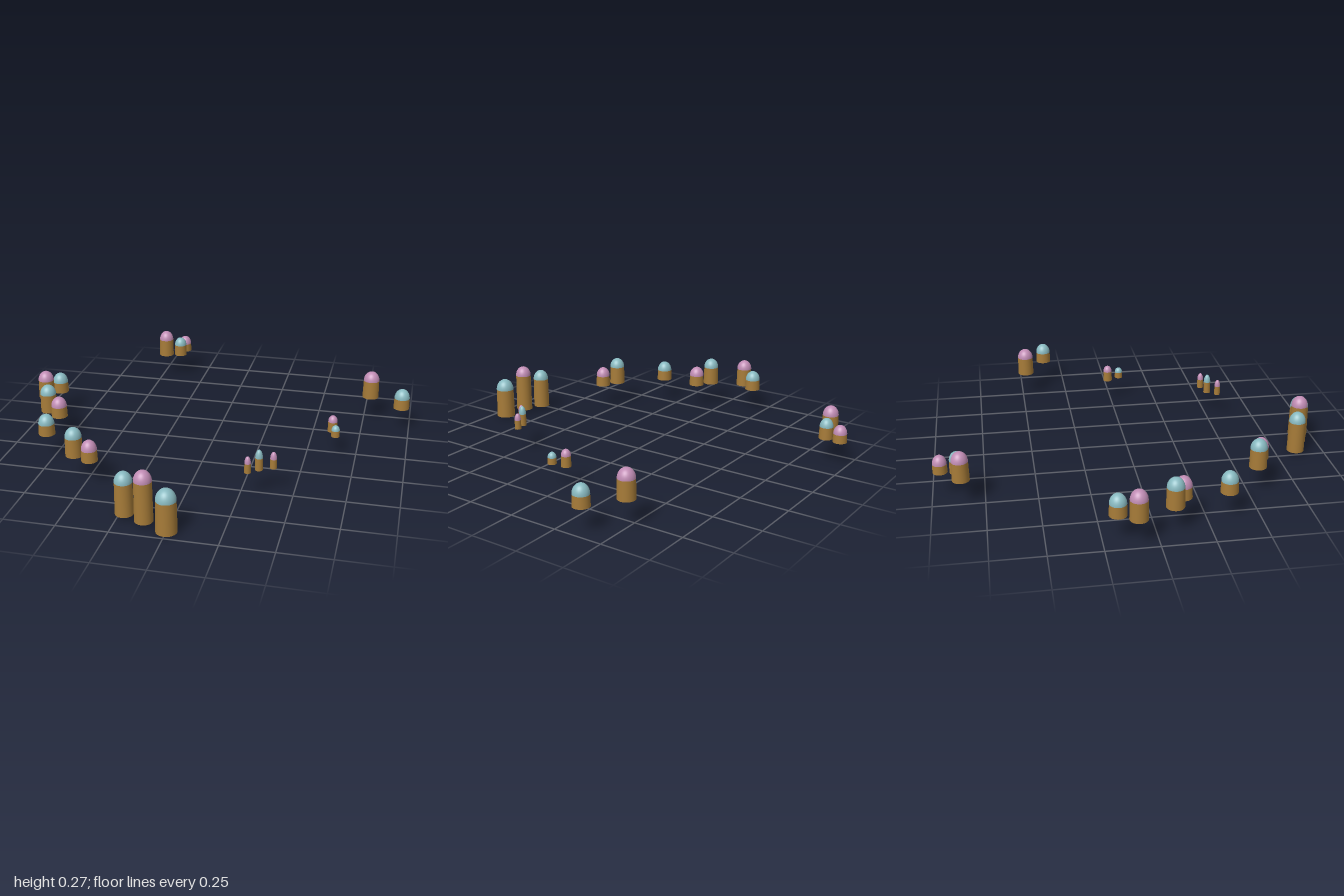
import * as THREE from 'three';

export function createModel() {
  const model = new THREE.Group();
  const mat = (name, color) => {
    const m = new THREE.MeshStandardMaterial({ color });
    m.name = name;
    return m;
  };
  const wood = mat('ochre wood', 0xa67b38);
  const caps = { teal: mat('soft teal', 0x88b9c0), pink: mat('dusty pink', 0xc08cb4) };

  // x, z, radius, base height, top height, dome height, cap colour
  const posts = [
    // back cluster
    [-0.39, -0.955, 0.036, 0.123, 0.212, 0.045, 'pink'],
    [-0.483, -0.858, 0.042, 0.123, 0.27, 0.05, 'pink'],
    [-0.4, -0.875, 0.036, 0.123, 0.23, 0.045, 'teal'],
    // left pair
    [0.78, -0.478, 0.044, 0.123, 0.27, 0.05, 'pink'],
    [0.953, -0.363, 0.042, 0.123, 0.23, 0.05, 'teal'],
    // right arc
    [-0.908, -0.178, 0.042, 0.123, 0.23, 0.05, 'teal'],
    [-0.957, -0.093, 0.043, 0.123, 0.27, 0.05, 'pink'],
    [-0.875, 0.085, 0.043, 0.123, 0.27, 0.05, 'teal'],
    [-0.797, 0.137, 0.042, 0.123, 0.23, 0.05, 'pink'],
    [-0.782, 0.355, 0.042, 0.123, 0.23, 0.05, 'teal'],
    [-0.565, 0.55, 0.043, 0.123, 0.27, 0.05, 'teal'],
    [-0.474, 0.587, 0.04, 0.123, 0.23, 0.05, 'pink'],
    // tall front trio
    [-0.22, 0.853, 0.044, 0.016, 0.23, 0.052, 'teal'],
    [-0.116, 0.895, 0.044, 0.016, 0.27, 0.052, 'pink'],
    [0, 0.935, 0.05, 0, 0.215, 0.058, 'teal'],
    // small pair and slim trio
    [0.623, -0.015, 0.025, 0.113, 0.2, 0.033, 'pink'],
    [0.645, 0.052, 0.022, 0.118, 0.177, 0.027, 'teal'],
    [0.4, 0.483, 0.017, 0.13, 0.214, 0.036, 'pink'],
    [0.335, 0.507, 0.019, 0.126, 0.23, 0.042, 'teal'],
    [0.29, 0.555, 0.016, 0.13, 0.214, 0.036, 'pink'],
  ];

  posts.forEach(([x, z, r, base, top, dome, cap], i) => {
    const post = new THREE.Group();
    post.name = `post${i + 1}`;
    post.position.set(x, base, z);
    const height = top - dome - base;

    // Slightly tapered shaft
    const shaft = new THREE.Mesh(new THREE.CylinderGeometry(r * 0.95, r, height, 32), wood);
    shaft.name = 'shaft';
    shaft.position.y = height / 2;

    // Rounded cap
    const domeGeo = new THREE.SphereGeometry(1, 32, 12, 0, Math.PI * 2, 0, Math.PI / 2);
    domeGeo.scale(r * 0.96, dome, r * 0.96);
    const domeMesh = new THREE.Mesh(domeGeo, caps[cap]);
    domeMesh.name = 'domeCap';
    domeMesh.position.y = height;

    post.add(shaft, domeMesh);
    model.add(post);
  });
  return model;
}
